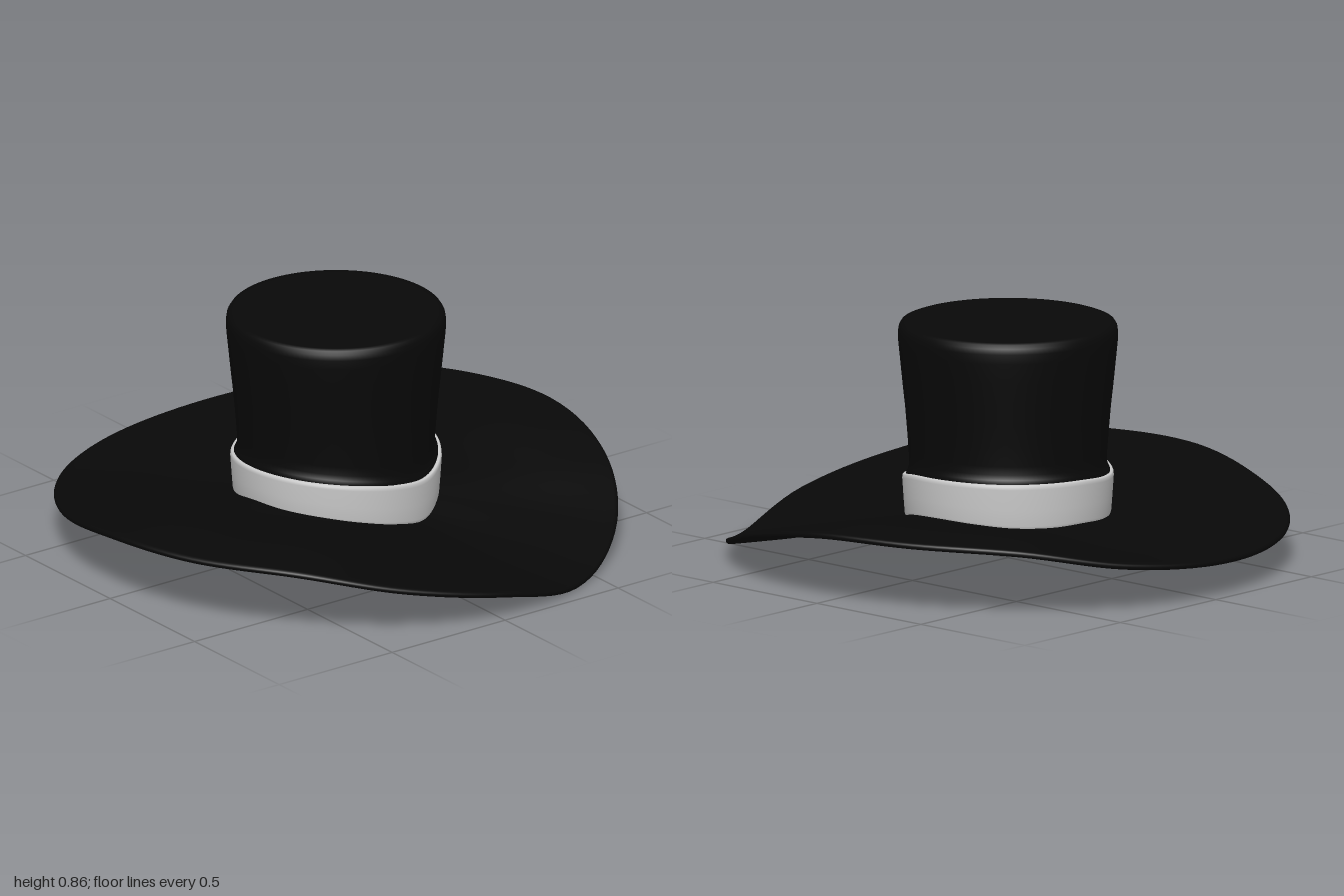
import * as THREE from 'three';
import { mergeVertices } from 'three/addons/utils/BufferGeometryUtils.js';

const SEGMENTS = 128;
const THICK = 0.024;
const { lerp, clamp, smoothstep } = THREE.MathUtils;

// smooth closed curve through heights spaced evenly around the hat,
// starting at the front (+z) and turning towards +x
function around(heights) {
  const n = heights.length;
  const at = i => heights[(i + n) % n];
  return angle => {
    const s = (angle / (2 * Math.PI) + 1) % 1 * n;
    const i = Math.floor(s), t = s - i;
    const m0 = (at(i + 1) - at(i - 1)) / 2, m1 = (at(i + 2) - at(i)) / 2;
    const t2 = t * t, t3 = t2 * t;
    return (2 * t3 - 3 * t2 + 1) * at(i) + (t3 - 2 * t2 + t) * m0
      + (3 * t2 - 2 * t3) * at(i + 1) + (t3 - t2) * m1;
  };
}

// underside of the brim at the rim and at the crown, and top edge of the band
const rimY = around([0.085, 0.002, 0.06, 0.165, 0.235, 0.241, 0.225, 0.16,
  0.123, 0.116, 0.133, 0.17, 0.228, 0.241, 0.237, 0.165]);
const innerY = around([0.137, 0.113, 0.138, 0.168, 0.18, 0.176, 0.165, 0.16,
  0.16, 0.15, 0.148, 0.172, 0.2, 0.2, 0.19, 0.167]);
const bandTopY = around([0.31, 0.295, 0.312, 0.337, 0.346, 0.348, 0.347, 0.345,
  0.34, 0.327, 0.321, 0.335, 0.345, 0.348, 0.343, 0.33]);

// revolve a profile, then set each vertex height by a rule of (y, angle, radius)
function warpedLathe(name, points, color, rule) {
  let geo = new THREE.LatheGeometry(points.map(p => new THREE.Vector2(p[0], p[1])), SEGMENTS);
  const pos = geo.attributes.position;
  for (let i = 0; i < pos.count; i++) {
    const x = pos.getX(i), z = pos.getZ(i);
    pos.setY(i, rule(pos.getY(i), Math.atan2(x, z), Math.hypot(x, z)));
  }
  geo.deleteAttribute('uv');
  geo.deleteAttribute('normal');
  geo = mergeVertices(geo, 1e-5);
  geo.computeVertexNormals();
  const mesh = new THREE.Mesh(geo, new THREE.MeshStandardMaterial({ color, side: THREE.DoubleSide }));
  mesh.name = name;
  return mesh;
}

// the raised sides curl up in an S, the dips slope straight down
function brimHeight(angle, r) {
  const rim = rimY(angle);
  const dip = clamp(1 - rim / 0.24, 0, 1);
  const t = lerp(smoothstep(r, 0.34, 0.82), clamp((r - 0.34) / 0.64, 0, 1), dip);
  return lerp(innerY(angle), rim, t);
}

export function createModel() {
  const hat = new THREE.Group();
  hat.name = 'hat';
  const black = 0x080808;

  // wavy brim: underside outwards, rounded rim, upper side back in
  const steps = 20, hole = 0.34, rim = 0.986;
  const under = [], upper = [], edge = [];
  for (let i = 0; i <= steps; i++) {
    const r = lerp(hole, rim, i / steps);
    under.push([r, 0]);
    upper.unshift([r, THICK]);
  }
  for (let i = 1; i < 6; i++) {
    const t = -Math.PI / 2 + Math.PI * i / 6;
    edge.push([rim + 0.014 * Math.cos(t), THICK / 2 * (1 + Math.sin(t))]);
  }
  const brimProfile = [...under, ...edge, ...upper, [hole, 0]];
  hat.add(warpedLathe('brim', brimProfile, black, (y, a, r) => y + brimHeight(a, r)));

  // crown: flares upwards, its lower edge follows the band
  const crownProfile = [
    [0.358, 0.335], [0.362, 0.35], [0.356, 0.362], [0.35, 0.38], [0.351, 0.41], [0.357, 0.48],
    [0.365, 0.56], [0.374, 0.64], [0.382, 0.72], [0.389, 0.79], [0.39, 0.825], [0.387, 0.845],
    [0.379, 0.858], [0.365, 0.863], [0.34, 0.864], [0.2, 0.864], [0, 0.864],
  ];
  hat.add(warpedLathe('crown', crownProfile, black, (y, a) =>
    y + (bandTopY(a) - 0.348) * (1 - smoothstep(y, 0.36, 0.6))));

  // band: 0 is its lower edge on the brim, 1 its upper edge
  const bandProfile = [
    [0.347, 0], [0.36, 0], [0.366, 0.12], [0.37, 0.45], [0.375, 0.9], [0.374, 0.97], [0.37, 1],
    [0.36, 1], [0.353, 0.97], [0.349, 0.5], [0.347, 0],
  ];
  hat.add(warpedLathe('band', bandProfile, 0xcccccc, (v, a) =>
    lerp(innerY(a) + 0.012, bandTopY(a), v)));

  return hat;
}
